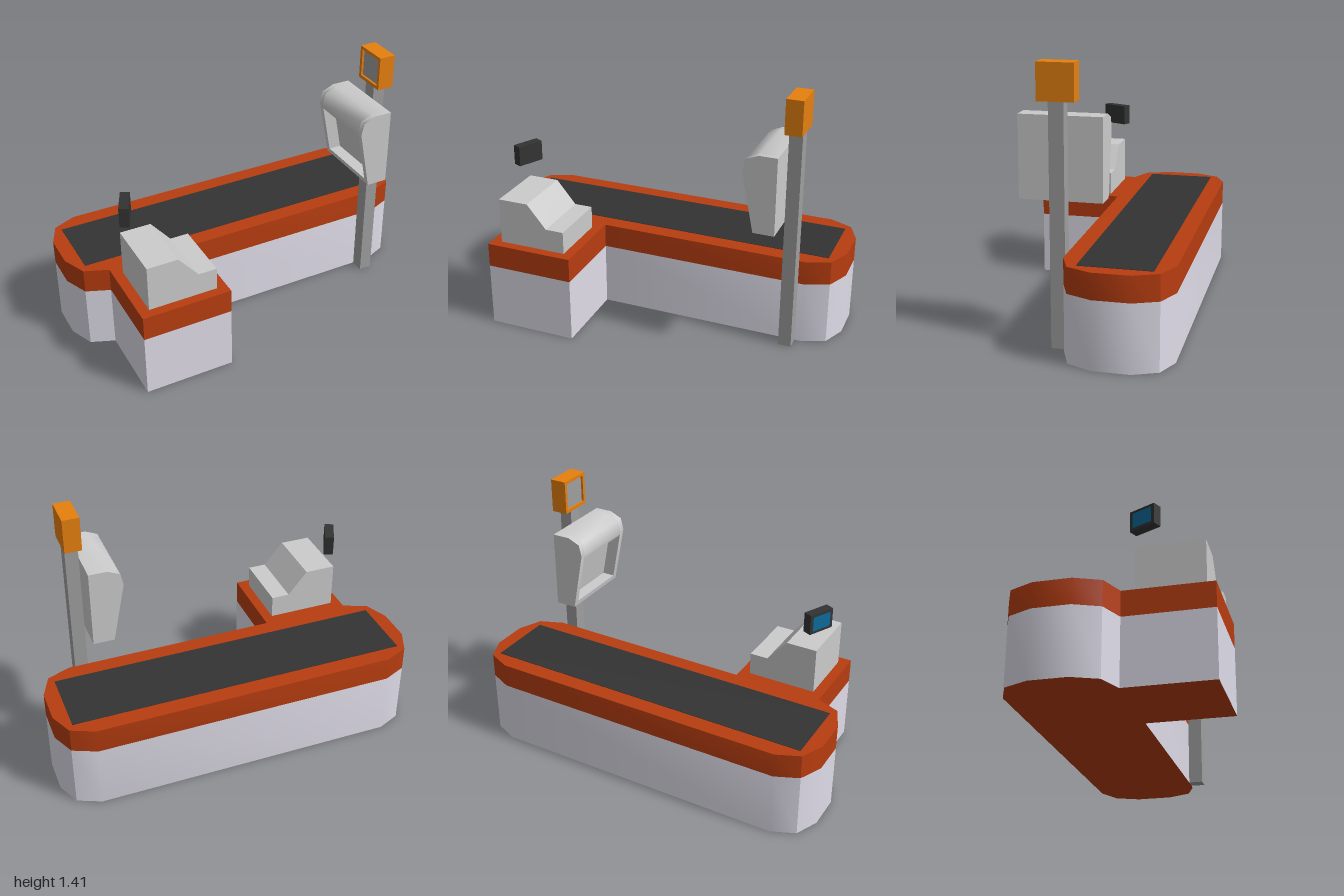
import * as THREE from 'three';
import { toCreasedNormals } from 'three/addons/utils/BufferGeometryUtils.js';

const mat = (color) => new THREE.MeshStandardMaterial({ color });

export function createModel() {
  const model = new THREE.Group();
  const grey = mat(0xcccccc), red = mat(0xb73d10), lilac = mat(0xdfdce8);
  const dark = mat(0x333333), orange = mat(0xe6800f), steel = mat(0x9e9e9e), blue = mat(0x0c6a9c);

  const add = (parent, name, geometry, material, x = 0, y = 0, z = 0) => {
    const mesh = new THREE.Mesh(geometry, material);
    mesh.name = name;
    mesh.position.set(x, y, z);
    parent.add(mesh);
    return mesh;
  };
  const shapeOf = (points) => new THREE.Shape(points.map(([x, y]) => new THREE.Vector2(x, y)));
  const extrude = (points, depth, crease) =>
    toCreasedNormals(new THREE.ExtrudeGeometry(shapeOf(points), { depth, bevelEnabled: false }), crease);
  const box = (w, h, d) => new THREE.BoxGeometry(w, h, d);

  // Counter: L-shaped footprint with chamfered round ends, given as x, z
  const end = [[0.82, -0.5], [0.945, -0.445], [1, -0.32], [1, -0.13], [0.945, 0], [0.82, 0.05]];
  const footprint = [
    ...end,
    [-0.335, 0.05], [-0.335, 0.5], [-0.82, 0.5],
    ...end.map(([x, z]) => [-x, z]).reverse(),
  ].map(([x, z]) => [x, -z]);
  const layer = (height) => extrude(footprint, height, 0.6).rotateX(-Math.PI / 2);
  add(model, 'counterBody', layer(0.35), [red, lilac]);
  add(model, 'counterTop', layer(0.133), red, 0, 0.35, 0);
  add(model, 'conveyorBelt', box(1.84, 0.004, 0.37), dark, 0, 0.483, -0.225);

  // Cash register: stepped profile
  const register = [[-0.765, 0.483], [-0.39, 0.483], [-0.39, 0.607], [-0.49, 0.607], [-0.597, 0.735], [-0.765, 0.735]];
  add(model, 'cashRegister', extrude(register, 0.345, 0.5), grey, 0, 0, 0.103);

  // Small display turned towards the cashier
  const display = new THREE.Group();
  display.name = 'display';
  display.position.set(-0.745, 0.895, 0.147);
  display.rotation.y = -0.436;
  add(display, 'displayCase', box(0.05, 0.11, 0.15), dark);
  add(display, 'displayScreen', box(0.004, 0.08, 0.115), blue, -0.025, 0, 0);
  model.add(display);

  // Pole
  add(model, 'pole', box(0.07, 1.23, 0.075), steel, 0.75, 0.615, 0.088);

  // Sign lamp: open-faced case with a recessed panel
  const lamp = new THREE.Group();
  lamp.name = 'signLamp';
  lamp.position.set(0.75, 1.318, 0.088);
  add(lamp, 'lampBack', box(0.075, 0.185, 0.185), orange, 0.0075, 0, 0);
  add(lamp, 'lampPanel', box(0.004, 0.149, 0.149), steel, -0.031, 0, 0);
  for (const s of [-1, 1]) {
    add(lamp, 'lampRim', box(0.015, 0.018, 0.185), orange, -0.0375, s * 0.0835, 0);
    add(lamp, 'lampRim', box(0.015, 0.149, 0.018), orange, -0.0375, 0, s * 0.0835);
  }
  model.add(lamp);

  // Hooded holder: two full side plates around a core with a recessed face
  const hood = [[0.713, 1.148], [0.615, 1.148], [0.55, 1.12], [0.535, 1.055]];
  const foot = [[0.6, 0.73], [0.713, 0.73]];
  const recess = [[0.54, 1.03], [0.61, 1.03], [0.664, 0.757], [0.595, 0.757]];
  const holder = new THREE.Group();
  holder.name = 'holder';
  add(holder, 'holderCore', extrude([...hood, ...recess, ...foot], 0.36, 1.05), grey, 0, 0, -0.09);
  for (const z of [-0.12, 0.27]) {
    add(holder, 'holderSide', extrude([...hood, ...foot], 0.03, 1.05), grey, 0, 0, z);
  }
  model.add(holder);

  return model;
}
